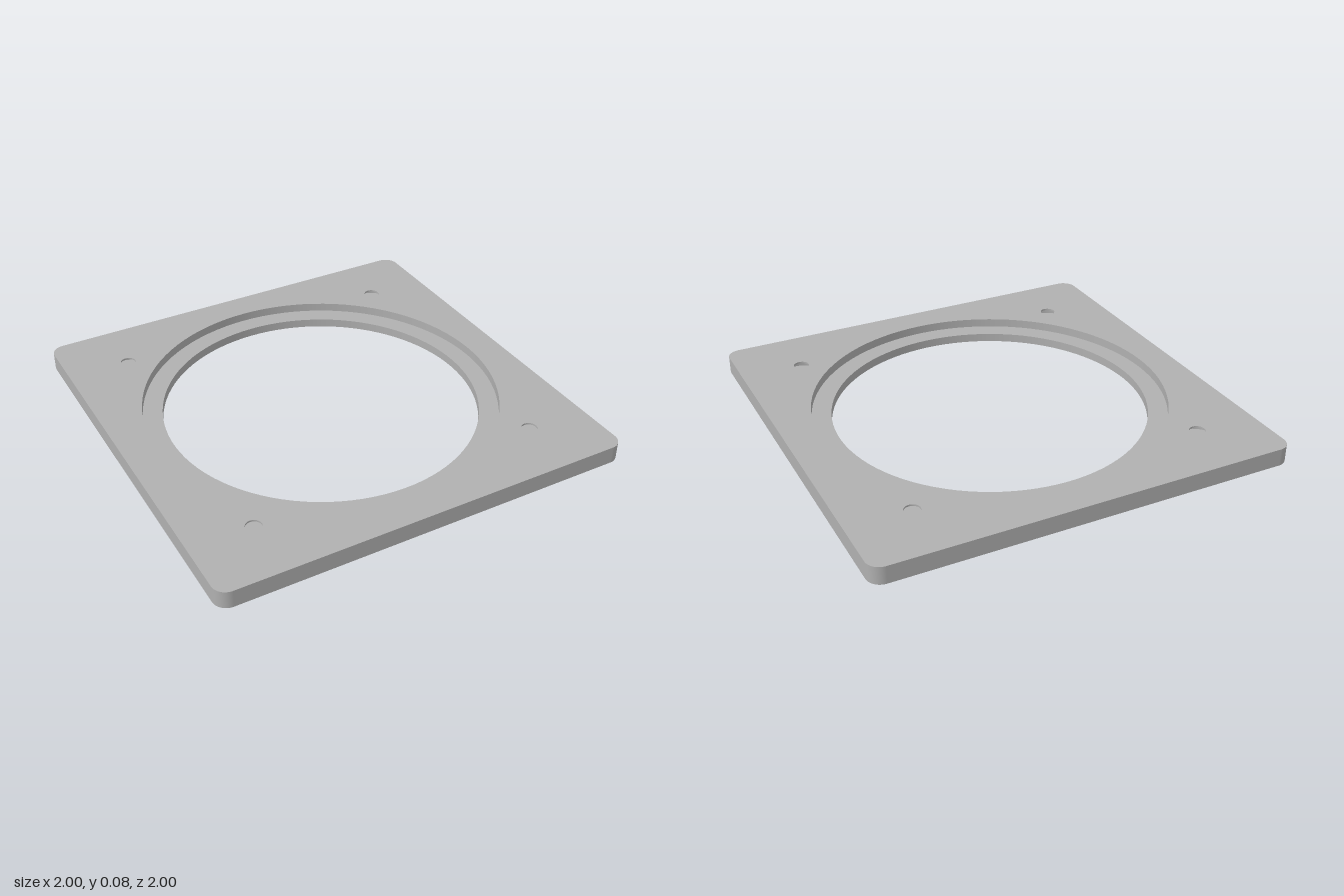
import * as THREE from 'three';

const HEIGHT = 0.084, LEDGE = 0.042, HALF = 1, CORNER = 0.065;
const OPENING = 0.75, RECESS = 0.843, HOLE = 0.037, POCKET = 0.12, SPOT = 0.7;
const SEGMENTS = 96;

// Square outline with rounded corners and circular holes [x, y, radius]
function plateShape(holes) {
  const c = HALF - CORNER;
  const shape = new THREE.Shape();
  [[c, c], [-c, c], [-c, -c], [c, -c]].forEach(([x, y], i) =>
    shape.absarc(x, y, CORNER, i * Math.PI / 2, (i + 1) * Math.PI / 2, false));
  shape.closePath();
  for (const [x, y, r] of holes) {
    shape.holes.push(new THREE.Path().absarc(x, y, r, 0, Math.PI * 2, true));
  }
  return new THREE.ShapeGeometry(shape, SEGMENTS / 2);
}

export function createModel() {
  const model = new THREE.Group();
  model.name = 'mountingPlate';
  const grey = new THREE.MeshStandardMaterial({ color: 0xb0b0b0 });
  grey.name = 'grey';

  const add = (name, geometry, x = 0, y = 0, z = 0) => {
    const mesh = new THREE.Mesh(geometry, grey);
    mesh.name = name;
    mesh.position.set(x, y, z);
    model.add(mesh);
    return mesh;
  };

  // Each profile step is its own lathe, so the edges between steps stay sharp
  const addBore = (name, profile, x = 0, z = 0) => {
    for (let i = 0; i < profile.length - 1; i++) {
      const pair = [profile[i], profile[i + 1]].map(([r, y]) => new THREE.Vector2(r, y));
      add(name, new THREE.LatheGeometry(pair, SEGMENTS), x, 0, z);
    }
  };

  const spots = [[SPOT, SPOT], [-SPOT, SPOT], [-SPOT, -SPOT], [SPOT, -SPOT]];

  // Top and bottom faces
  const topHoles = [[0, 0, RECESS], ...spots.map(([x, z]) => [x, z, HOLE])];
  add('topFace', plateShape(topHoles).rotateX(-Math.PI / 2), 0, HEIGHT, 0);
  add('bottomFace', plateShape([[0, 0, OPENING]]).rotateX(Math.PI / 2));

  // Outer walls and rounded corners
  const c = HALF - CORNER;
  for (let i = 0; i < 4; i++) {
    const turn = i * Math.PI / 2;
    const wall = new THREE.PlaneGeometry(2 * c, HEIGHT).translate(0, HEIGHT / 2, HALF);
    add('sideWall', wall.rotateY(turn));
    const corner = new THREE.CylinderGeometry(
      CORNER, CORNER, HEIGHT, SEGMENTS, 1, true, 0, Math.PI / 2);
    add('roundedCorner', corner.translate(c, HEIGHT / 2, c).rotateY(turn));
  }

  // Stepped central opening
  addBore('centralOpening', [[RECESS, HEIGHT], [RECESS, LEDGE], [OPENING, LEDGE], [OPENING, 0]]);

  // Small blind holes widening into hidden pockets
  for (const [x, z] of spots) {
    addBore('screwHole',
      [[HOLE, HEIGHT], [HOLE, 0.076], [POCKET, 0.076], [POCKET, 0.02], [0, 0.02]], x, z);
  }
  return model;
}
